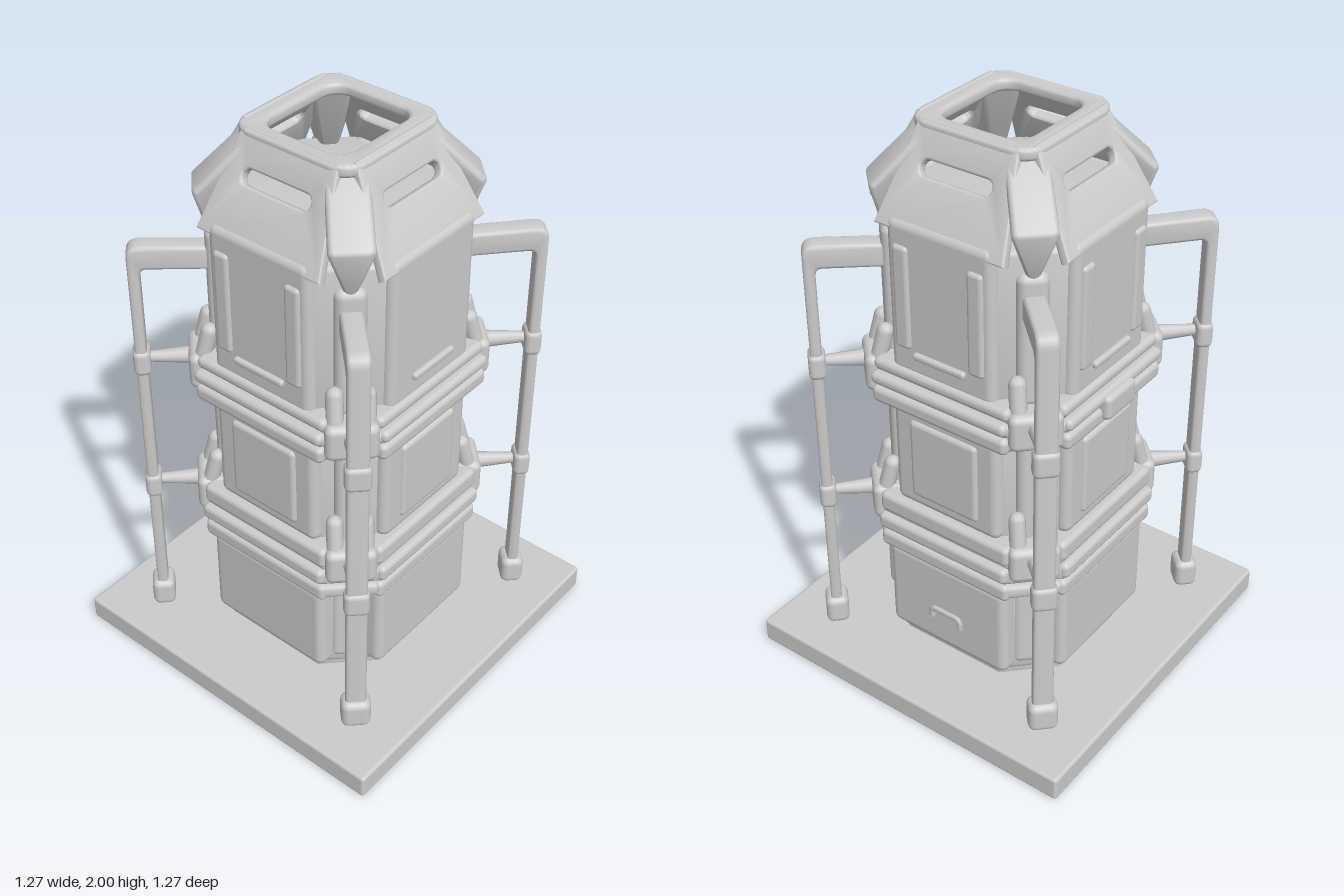
import * as THREE from 'three';
import { mergeVertices, toCreasedNormals } from 'three/addons/utils/BufferGeometryUtils.js';
import { RoundedBoxGeometry } from 'three/addons/geometries/RoundedBoxGeometry.js';
import { ConvexGeometry } from 'three/addons/geometries/ConvexGeometry.js';

const mat = new THREE.MeshStandardMaterial({ color: 0xcccccc, roughness: 0.75 });

function add(parent, name, geo, x = 0, y = 0, z = 0) {
  const m = new THREE.Mesh(geo, mat);
  m.name = name;
  m.position.set(x, y, z);
  parent.add(m);
  return m;
}

const rbox = (w, h, d, r = 0.015) => new RoundedBoxGeometry(w, h, d, 3, r);

// Box given by its vertical range and depth range, centred on x unless moved
function block(parent, name, w, y0, y1, z0, z1, r, x = 0) {
  return add(parent, name, rbox(w, y1 - y0, z1 - z0, r), x, (y0 + y1) / 2, (z0 + z1) / 2);
}

function roundRect(shape, w, h, r, cy = 0) {
  const x = w / 2, y0 = cy - h / 2, y1 = cy + h / 2;
  shape.moveTo(-x + r, y0).lineTo(x - r, y0);
  shape.absarc(x - r, y0 + r, r, -Math.PI / 2, 0);
  shape.absarc(x - r, y1 - r, r, 0, Math.PI / 2);
  shape.absarc(-x + r, y1 - r, r, Math.PI / 2, Math.PI);
  shape.absarc(-x + r, y0 + r, r, Math.PI, Math.PI * 1.5);
  return shape;
}

// Extrusion whose bevel stays inside the stated depth
function extrude(shape, depth, bevel) {
  const g = new THREE.ExtrudeGeometry(shape, {
    depth: depth - 2 * bevel, bevelThickness: bevel, bevelSize: bevel,
    bevelOffset: -bevel, bevelSegments: 3, curveSegments: 6,
  });
  g.translate(0, 0, bevel);
  return toCreasedNormals(g, 0.6);
}

// Upright eight-sided prism: flats at distance a, flat half width b
function octagon(a, b, y0, y1, bevel) {
  const pts = [];
  for (const [x, y] of [[a, -b], [a, b], [b, a], [-b, a], [-a, b], [-a, -b], [-b, -a], [b, -a]])
    pts.push(new THREE.Vector2(x, y));
  const g = extrude(new THREE.Shape(pts), y1 - y0, bevel);
  g.rotateX(-Math.PI / 2);
  g.translate(0, y0, 0);
  return g;
}

// Rounded convex solid around a few points
function hull(points, r) {
  const cloud = [];
  for (const [x, y, z] of points) {
    const s = new THREE.IcosahedronGeometry(r, 2).getAttribute('position');
    for (let i = 0; i < s.count; i++)
      cloud.push(new THREE.Vector3().fromBufferAttribute(s, i).add(new THREE.Vector3(x, y, z)));
  }
  const g = new ConvexGeometry(cloud);
  g.deleteAttribute('normal');
  return toCreasedNormals(mergeVertices(g, 1e-4), 0.7);
}

// One face of the container, facing local +z
function side(i) {
  const g = new THREE.Group();
  g.name = ['front', 'left', 'back', 'right'][i] + 'Side';
  g.rotation.y = i * Math.PI / 2;

  block(g, 'lowerPanel', 0.49, 0.125, 0.48, 0.3, 0.385, 0.03);
  block(g, 'middlePanel', 0.42, 0.68, 1.1, 0.3, 0.37, 0.03);
  block(g, 'middlePad', 0.27, 0.73, 1.03, 0.34, 0.382, 0.018);
  block(g, 'upperPanel', 0.4, 1.2, 1.74, 0.3, 0.375, 0.03);
  block(g, 'upperSlit', 0.2, 1.275, 1.3, 0.36, 0.39, 0.01);
  if (i > 0) for (const s of [-1, 1])
    block(g, 'upperRib', 0.06, 1.3, 1.66, 0.34, 0.386, 0.015, s * 0.14);

  // Stacked bars of the two clamping bands
  for (const [y0, y1, z] of [[0.47, 0.535, 0.4], [0.55, 0.61, 0.41], [0.615, 0.69, 0.395],
    [1.065, 1.125, 0.405], [1.135, 1.18, 0.41], [1.18, 1.225, 0.39]])
    block(g, 'bandBar', 0.53, y0, y1, 0.3, z, 0.02);

  // Sloping hood panel with its hand slot
  const shape = new THREE.Shape([[-0.24, 0], [0.24, 0], [0.18, 0.34], [-0.18, 0.34]]
    .map(p => new THREE.Vector2(...p)));
  shape.holes.push(roundRect(new THREE.Path(), 0.26, 0.05, 0.024, 0.2));
  const panel = add(g, 'hoodPanel', extrude(shape, 0.035, 0.008), 0, 1.69, 0.345);
  panel.rotation.x = -Math.atan2(0.16, 0.3);

  if (i === 1) {
    const arch = new THREE.CatmullRomCurve3([[-0.06, 0.24], [-0.055, 0.275], [0, 0.28], [0.055, 0.275], [0.06, 0.24]]
      .map(([x, y]) => new THREE.Vector3(x, y, 0.383)));
    add(g, 'lowerHandle', new THREE.TubeGeometry(arch, 20, 0.012, 8));
  }
  if (i === 2) block(g, 'bandLatch', 0.16, 1.08, 1.17, 0.38, 0.43, 0.02);
  return g;
}

// One corner with its guard pole, facing local +z along the diagonal
function corner(i) {
  const g = new THREE.Group();
  g.name = 'corner' + (i + 1);
  g.rotation.y = Math.PI / 4 + i * Math.PI / 2;

  // Corner posts set between the panels
  for (const [y0, y1, w] of [[0.14, 0.48, 0.13], [0.66, 1.1, 0.1], [1.2, 1.66, 0.1]])
    block(g, 'cornerPost', w, y0, y1, 0.33, 0.412, 0.03);

  // Hood corner: wide at the shoulder, pointed below
  add(g, 'hoodCorner', hull([[-0.045, 1.98, 0.235], [0.045, 1.98, 0.235],
    [-0.05, 1.8, 0.42], [0.05, 1.8, 0.42], [0, 1.65, 0.385]], 0.02));

  // Guard pole with its flat arm, drawn as one bent profile
  const p = new THREE.Shape();
  p.moveTo(0.617, 0.08).lineTo(0.655, 0.08).lineTo(0.655, 1.56);
  p.quadraticCurveTo(0.655, 1.603, 0.61, 1.603).lineTo(0.36, 1.59).lineTo(0.36, 1.51);
  p.lineTo(0.595, 1.52).quadraticCurveTo(0.617, 1.52, 0.617, 1.49);
  const pole = add(g, 'guardPole', extrude(p, 0.07, 0.012), -0.035);
  pole.rotation.y = -Math.PI / 2;
  pole.position.x = 0.035;
  block(g, 'poleFoot', 0.1, 0.08, 0.19, 0.595, 0.675, 0.025);

  // Clamp, knob and thin link at each band
  for (const [y, h] of [[0.63, 0.13], [1.15, 0.13]]) {
    block(g, 'bandClamp', 0.17, y - h / 2, y + h / 2, 0.36, 0.485, 0.025);
    for (const s of [-1, 1]) {
      const knob = add(g, 'clampKnob', new THREE.CapsuleGeometry(0.028, 0.09, 4, 10), s * 0.05, y + 0.1, 0.425);
      knob.rotation.x = -0.25;
    }
    const link = add(g, 'poleLink', new THREE.CylinderGeometry(0.016, 0.03, 0.18, 10), 0, y + 0.02, 0.55);
    link.rotation.x = Math.PI / 2;
    block(g, 'poleCollar', 0.084, y - 0.035, y + 0.06, 0.607, 0.663, 0.02);
  }
  return g;
}

export function createModel() {
  const model = new THREE.Group();
  model.name = 'guardedContainer';

  add(model, 'base', rbox(1.27, 0.09, 1.27, 0.012), 0, 0.045, 0);
  add(model, 'plinth', octagon(0.35, 0.2, 0.08, 0.15, 0.01));

  // Stacked body sections
  add(model, 'lowerBody', octagon(0.372, 0.2, 0.11, 0.5, 0.025));
  add(model, 'middleBody', octagon(0.345, 0.2, 0.45, 1.12, 0.02));
  add(model, 'upperBody', octagon(0.345, 0.2, 1.1, 1.73, 0.02));

  // Continuous band flanges around the body
  for (const [y0, y1, a] of [[0.48, 0.53, 0.395], [0.545, 0.605, 0.4], [0.6, 0.67, 0.385],
    [1.075, 1.12, 0.395], [1.13, 1.175, 0.4], [1.17, 1.21, 0.38]])
    add(model, 'bandFlange', octagon(a, 0.255, y0, y1, 0.015));

  for (let i = 0; i < 4; i++) model.add(side(i), corner(i));

  // Open rim on top of the hood
  const rim = roundRect(new THREE.Shape(), 0.46, 0.46, 0.08);
  rim.holes.push(roundRect(new THREE.Path(), 0.345, 0.315, 0.06));
  const ring = add(model, 'hoodRim', extrude(rim, 0.04, 0.012), 0, 1.96, 0);
  ring.rotation.x = -Math.PI / 2;
  return model;
}
